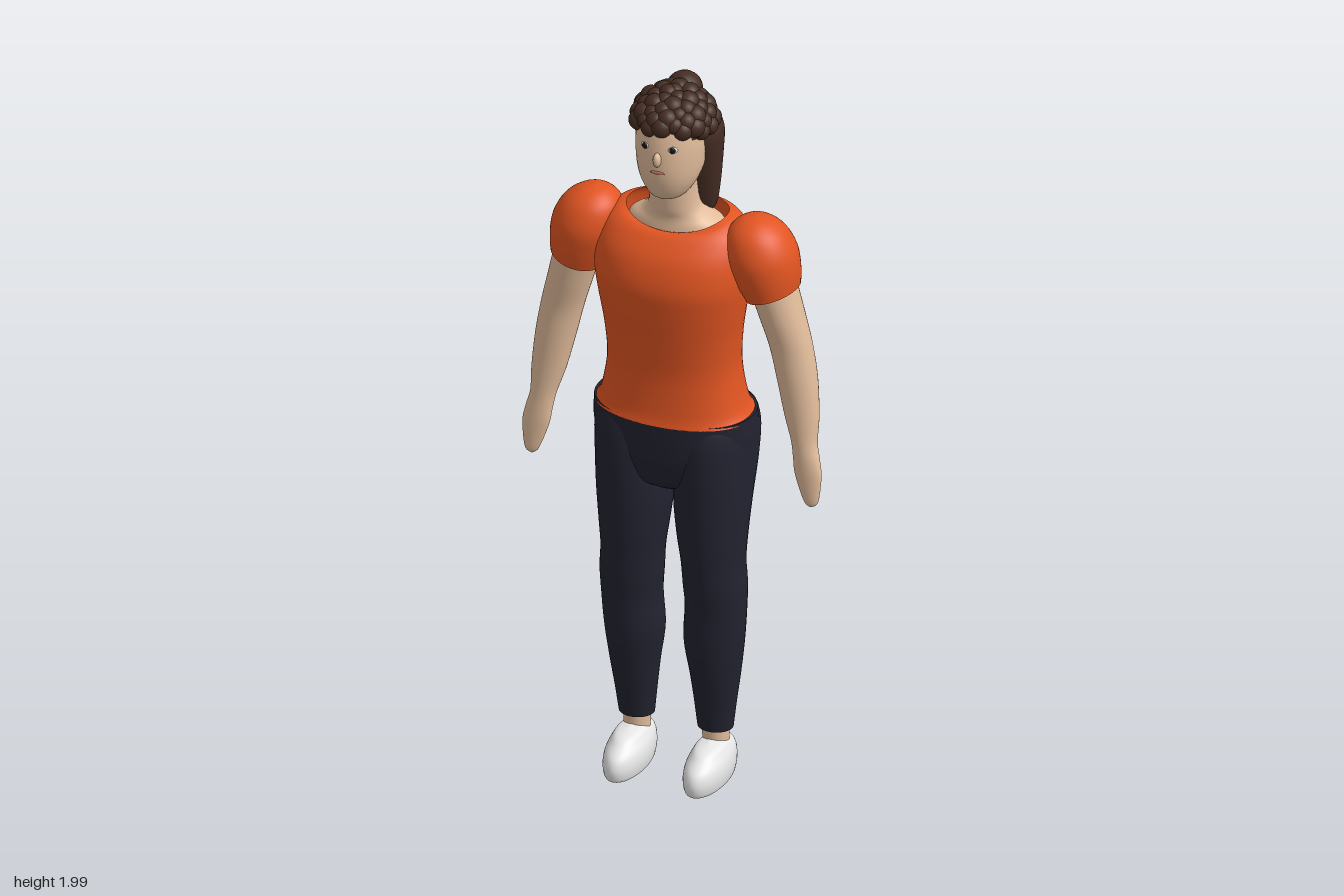
import * as THREE from 'three';

const mat = (name, color, side = THREE.FrontSide) => {
  const m = new THREE.MeshStandardMaterial({ color, side });
  m.name = name;
  return m;
};

// Smooth loft through rows [y, cx, cz, rx, rz, tilt, frontDip], listed from bottom to top.
// s mirrors the part in x; p is the squareness of the cross-section (2 = ellipse).
function loft(rows, { s = 1, p = 2, seg = 36, steps = 5, capTop = true, capBottom = true } = {}) {
  const cr = (a, b, c, d, t) => {
    const m0 = (c - a) / 2, m1 = (d - b) / 2, t2 = t * t, t3 = t2 * t;
    return (2 * t3 - 3 * t2 + 1) * b + (t3 - 2 * t2 + t) * m0 + (3 * t2 - 2 * t3) * c + (t3 - t2) * m1;
  };
  const last = rows.length - 1;
  const at = (i, k) => rows[Math.min(Math.max(i, 0), last)][k] || 0;
  const rings = [];
  for (let i = 0; i <= last; i++) {
    for (let j = 0; j < (i === last ? 1 : steps); j++) {
      const v = [];
      for (let k = 0; k < 7; k++) v.push(cr(at(i - 1, k), at(i, k), at(i + 1, k), at(i + 2, k), j / steps));
      rings.push(v);
    }
  }
  const pos = [], idx = [];
  const pw = (v) => Math.sign(v) * Math.pow(Math.abs(v), 2 / p);
  const addRing = ([y, cx, cz, rx, rz, tilt, dip]) => {
    for (let j = 0; j < seg; j++) {
      const a = (j / seg) * Math.PI * 2;
      const dx = Math.max(rx, 0.0005) * pw(Math.cos(a)), dz = Math.max(rz, 0.0005) * pw(Math.sin(a));
      pos.push(s * cx + dx, y + tilt * s * dx - dip * Math.max(0, Math.sin(a)) ** 2, cz + dz);
    }
  };
  rings.forEach(addRing);
  for (let i = 0; i < rings.length - 1; i++) {
    for (let j = 0; j < seg; j++) {
      const a = i * seg + j, b = i * seg + ((j + 1) % seg);
      idx.push(a, a + seg, b, b, a + seg, b + seg);
    }
  }
  const cap = (r, up) => {
    const base = pos.length / 3;
    addRing(r);
    pos.push(s * r[1], r[0], r[2]);
    for (let j = 0; j < seg; j++) {
      const a = base + j, b = base + ((j + 1) % seg);
      idx.push(base + seg, up ? b : a, up ? a : b);
    }
  };
  if (capBottom) cap(rings[0], false);
  if (capTop) cap(rings[rings.length - 1], true);
  const g = new THREE.BufferGeometry();
  g.setAttribute('position', new THREE.Float32BufferAttribute(pos, 3));
  g.setIndex(idx);
  g.computeVertexNormals();
  return g;
}

export function createModel() {
  const skin = mat('skin', 0xe3bd9c);
  const shirt = mat('orange shirt', 0xe25522, THREE.DoubleSide);
  const pants = mat('dark trousers', 0x232331);
  const hair = mat('brown hair', 0x452d23);
  const white = mat('white', 0xe8e8e8);
  const black = mat('eye black', 0x18120f);
  const lip = mat('lips', 0xb5705f);

  const model = new THREE.Group();
  model.name = 'woman';
  const add = (name, geo, m, x = 0, y = 0, z = 0, parent = model) => {
    const mesh = new THREE.Mesh(geo, m);
    mesh.name = name;
    mesh.position.set(x, y, z);
    parent.add(mesh);
    return mesh;
  };
  const ball = (name, m, x, y, z, rx, ry = rx, rz = rx, parent = model) => {
    const mesh = add(name, new THREE.SphereGeometry(1, 18, 12), m, x, y, z, parent);
    mesh.scale.set(rx, ry, rz);
    return mesh;
  };

  // Shirt body with a scooped neckline
  add('shirt', loft([
    [1.065, 0, 0, 0.213, 0.142], [1.1, 0, 0.003, 0.193, 0.133], [1.2, 0, 0.006, 0.176, 0.127],
    [1.3, 0, 0.012, 0.181, 0.132], [1.4, 0, 0.018, 0.196, 0.14], [1.47, 0, 0.02, 0.204, 0.143],
    [1.54, 0, 0.01, 0.203, 0.135], [1.595, 0, -0.006, 0.188, 0.119, 0, 0.008],
    [1.622, 0, -0.014, 0.162, 0.104, 0, 0.016], [1.632, 0, -0.015, 0.135, 0.088, 0, 0.03],
  ], { p: 2.25, seg: 56, capTop: false }), shirt);

  // Neck and upper chest, head
  add('neck', loft([
    [1.54, 0, -0.01, 0.14, 0.08], [1.6, 0, -0.015, 0.13, 0.078], [1.632, 0, -0.005, 0.088, 0.066],
    [1.665, 0, 0.008, 0.066, 0.06], [1.76, 0, 0.02, 0.062, 0.058],
  ]), skin);
  add('head', loft([
    [1.703, 0, 0.055, 0.015, 0.02], [1.712, 0, 0.053, 0.045, 0.048], [1.75, 0, 0.042, 0.073, 0.077],
    [1.8, 0, 0.03, 0.088, 0.098], [1.87, 0, 0.025, 0.092, 0.1], [1.93, 0, 0.015, 0.084, 0.094],
    [1.965, 0, 0.01, 0.05, 0.06], [1.975, 0, 0.01, 0, 0],
  ]), skin);

  // Face
  ball('nose', skin, 0, 1.838, 0.128, 0.011, 0.02, 0.014);
  ball('mouth', lip, 0, 1.8, 0.127, 0.02, 0.005, 0.004);
  for (const s of [1, -1]) {
    ball('eyeWhite', white, s * 0.038, 1.868, 0.115, 0.013, 0.009, 0.005).rotation.y = s * 0.35;
    ball('pupil', black, s * 0.038, 1.868, 0.118, 0.008, 0.009, 0.005).rotation.y = s * 0.35;
  }

  // Curly cap: blobs spread in a spiral over a dome
  const curls = new THREE.Group();
  curls.name = 'curls';
  model.add(curls);
  add('hairDome', new THREE.SphereGeometry(1, 28, 10, 0, Math.PI * 2, 0, Math.PI / 2), hair, 0, 1.885, 0.005, curls)
    .scale.set(0.104, 0.095, 0.108);
  const count = 64;
  for (let i = 0; i < count; i++) {
    const h = 1 - i / (count - 1), r = Math.sqrt(1 - h * h), a = i * 2.39996;
    const x = r * Math.cos(a), z = r * Math.sin(a);
    ball('curl', hair, 0.094 * x, 1.888 + 0.084 * h + 0.026 * z * (1 - h), 0.005 + 0.1 * z, 0.024 + 0.005 * (i % 3) / 2, undefined, undefined, curls);
  }
  ball('hairKnot', hair, 0, 1.95, -0.06, 0.048);

  // Long back hair and ponytail
  add('backHair', loft([
    [1.605, 0, -0.06, 0.06, 0.032], [1.625, 0, -0.06, 0.085, 0.042], [1.7, 0, -0.05, 0.1, 0.056],
    [1.8, 0, -0.035, 0.112, 0.074], [1.87, 0, -0.025, 0.115, 0.085], [1.92, 0, -0.02, 0.09, 0.08],
  ], { p: 2.4 }), hair);
  add('ponytail', loft([
    [1.65, 0, -0.139, 0.004, 0.004], [1.66, 0, -0.139, 0.018, 0.016], [1.72, 0, -0.137, 0.031, 0.024],
    [1.82, 0, -0.133, 0.039, 0.029], [1.89, 0, -0.122, 0.037, 0.033], [1.925, 0, -0.108, 0.026, 0.026],
    [1.938, 0, -0.1, 0.002, 0.002],
  ]), hair);

  // Hips under the shirt hem
  add('hips', loft([
    [0.85, 0, 0.005, 0.06, 0.07], [0.88, 0, 0.006, 0.13, 0.105], [0.94, 0, 0, 0.195, 0.128],
    [1.0, 0, -0.002, 0.216, 0.137], [1.072, 0, -0.002, 0.215, 0.142],
  ], { p: 2.2, seg: 48 }), pants);

  for (const s of [1, -1]) {
    // Puffed sleeve
    add('sleeve', loft([
      [1.447, 0.268, 0, 0.069, 0.084, 0.33], [1.5, 0.254, 0.002, 0.083, 0.094, 0.27],
      [1.56, 0.236, 0.003, 0.091, 0.097, 0.15], [1.615, 0.225, 0.003, 0.075, 0.077, 0.05],
      [1.646, 0.222, 0.002, 0.04, 0.042], [1.656, 0.222, 0.002, 0, 0],
    ], { s }), shirt);
    // Arm with mitten hand
    add('arm', loft([
      [0.853, 0.383, 0.03, 0.004, 0.004], [0.87, 0.383, 0.03, 0.02, 0.012], [0.94, 0.374, 0.026, 0.036, 0.018],
      [0.985, 0.367, 0.02, 0.036, 0.023], [1.03, 0.358, 0.012, 0.035, 0.029], [1.1, 0.347, 0.002, 0.046, 0.038],
      [1.2, 0.331, -0.007, 0.054, 0.048], [1.29, 0.313, -0.01, 0.057, 0.053],
      [1.38, 0.289, -0.006, 0.06, 0.062], [1.48, 0.262, 0, 0.063, 0.068],
    ], { s }), skin);
    // Trouser leg, full at the seat
    add('trouserLeg', loft([
      [0.14, 0.108, -0.003, 0.047, 0.043], [0.22, 0.109, 0, 0.056, 0.053], [0.3, 0.11, 0.003, 0.066, 0.066],
      [0.4, 0.109, 0.008, 0.079, 0.077], [0.5, 0.115, 0.011, 0.08, 0.08], [0.57, 0.114, 0.014, 0.083, 0.087],
      [0.64, 0.11, 0.016, 0.083, 0.092], [0.72, 0.107, 0.015, 0.091, 0.102], [0.82, 0.106, 0.008, 0.1, 0.117],
      [0.92, 0.108, -0.008, 0.104, 0.138], [1.0, 0.109, -0.014, 0.106, 0.142],
      [1.05, 0.109, -0.014, 0.1, 0.132], [1.068, 0.108, -0.012, 0.09, 0.12],
    ], { s }), pants);
    // Ankle and shoe
    add('ankle', new THREE.CylinderGeometry(0.036, 0.034, 0.1, 24), skin, s * 0.108, 0.115, -0.005);
    add('shoe', loft([
      [0.004, 0.11, 0.04, 0.044, 0.108], [0.012, 0.11, 0.04, 0.052, 0.121], [0.04, 0.11, 0.04, 0.056, 0.126],
      [0.068, 0.11, 0.036, 0.053, 0.119], [0.09, 0.11, 0.03, 0.044, 0.095], [0.106, 0.11, 0.034, 0.032, 0.06],
      [0.113, 0.11, 0.036, 0.004, 0.01],
    ], { s }), white);
  }
  return model;
}
